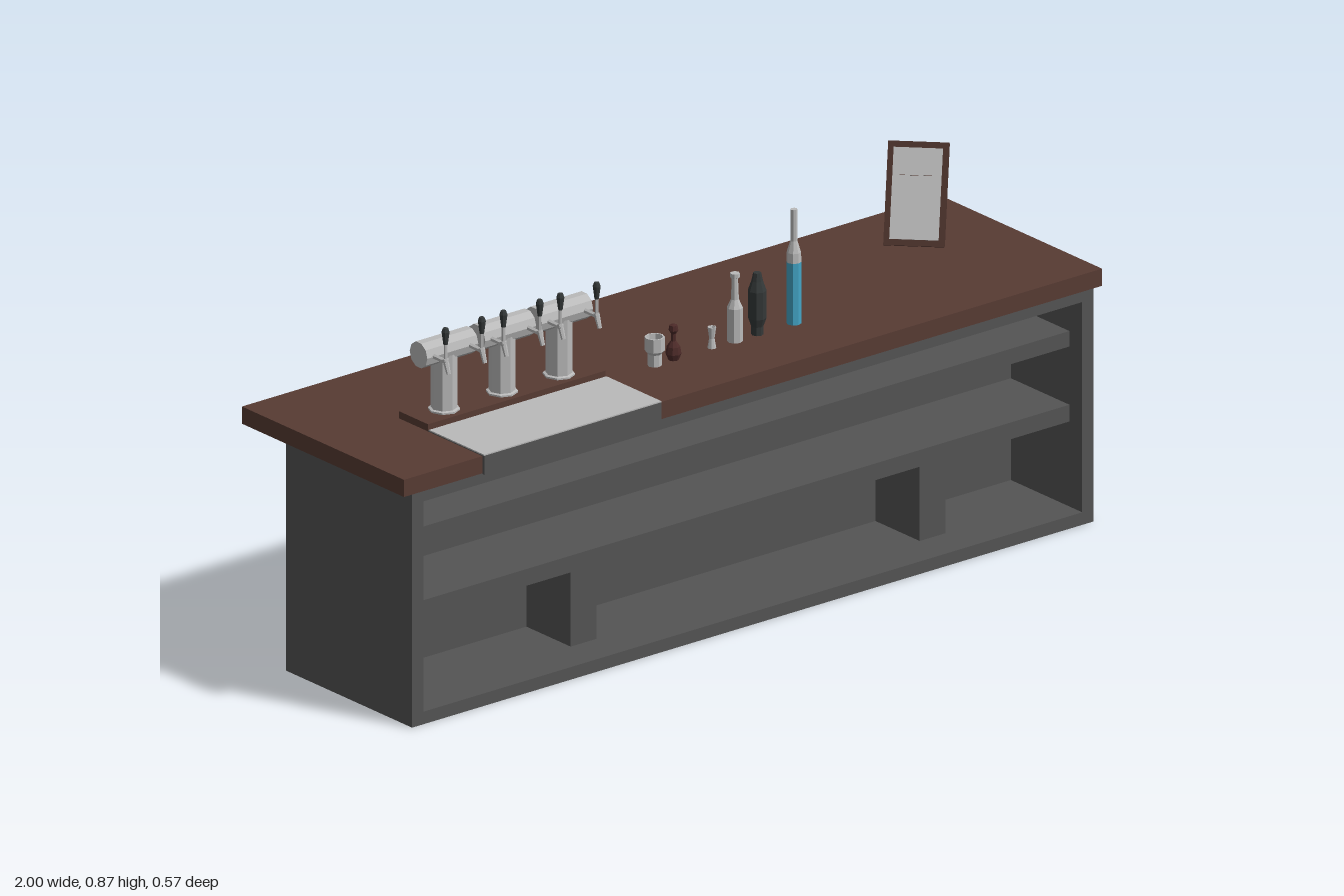
import * as THREE from 'three';

const mat = (name, color) => {
  const m = new THREE.MeshStandardMaterial({ color });
  m.name = name;
  return m;
};

export function createModel() {
  const gray = mat('charcoal cabinet', 0x545454);
  const brown = mat('dark wood', 0x573b33);
  const frameWood = mat('frame wood', 0x4b322b);
  const silver = mat('brushed metal', 0xbababa);
  const black = mat('black grip', 0x343838);
  const blue = mat('blue glass', 0x43a5c6);
  const red = mat('dark red wood', 0x4c2a28);

  const root = new THREE.Group();
  root.name = 'barCounter';

  // faceted mesh with one normal per face
  const add = (parent, name, geometry, material, x = 0, y = 0, z = 0) => {
    const g = geometry.index ? geometry.toNonIndexed() : geometry;
    g.computeVertexNormals();
    const mesh = new THREE.Mesh(g, material);
    mesh.name = name;
    mesh.position.set(x, y, z);
    parent.add(mesh);
    return mesh;
  };
  // box given by its limits on each axis
  const box = (parent, name, material, x0, x1, y0, y1, z0, z1) =>
    add(parent, name, new THREE.BoxGeometry(x1 - x0, y1 - y0, z1 - z0), material,
      (x0 + x1) / 2, (y0 + y1) / 2, (z0 + z1) / 2);
  // turned part from [radius, height] pairs, bottom to top
  const lathe = (parent, name, material, profile, x, y, z, sides = 8) =>
    add(parent, name, new THREE.LatheGeometry(
      profile.map(([r, h]) => new THREE.Vector2(r, h)), sides), material, x, y, z);
  const group = (name, x, y, z) => {
    const g = new THREE.Group();
    g.name = name;
    g.position.set(x, y, z);
    root.add(g);
    return g;
  };

  // Cabinet with an open front
  const cabinet = group('cabinet', 0, 0, 0);
  box(cabinet, 'cabinetBack', gray, -0.976, 0.976, 0, 0.557, -0.162, 0.03);
  box(cabinet, 'cabinetFloor', gray, -0.944, 0.944, 0, 0.03, 0.03, 0.28);
  box(cabinet, 'topRail', gray, -0.944, 0.944, 0.532, 0.557, 0.03, 0.28);
  for (const s of [-1, 1]) {
    const side = box(cabinet, 'cabinetSide', gray, -0.016, 0.016, 0, 0.557, 0.03, 0.28);
    side.position.x = s * 0.96;
  }
  box(cabinet, 'lowerShelf', gray, -0.944, 0.944, 0.233, 0.273, 0.03, 0.235);
  box(cabinet, 'upperShelf', gray, -0.944, 0.944, 0.412, 0.449, 0.03, 0.235);
  for (const x of [-0.407, 0.593])
    box(cabinet, 'shelfSupport', gray, x - 0.037, x + 0.037, 0.03, 0.233, 0.03, 0.185);

  // Counter top
  box(root, 'counterTop', brown, -1, 1, 0.557, 0.598, -0.287, 0.281);

  // Drip tray and tap riser
  box(root, 'dripTray', gray, -0.775, -0.267, 0.555, 0.6, 0.09, 0.287);
  box(root, 'dripTrayGrille', silver, -0.775, -0.267, 0.6, 0.603, 0.094, 0.286);
  box(root, 'tapRiser', brown, -0.775, -0.267, 0.598, 0.615, -0.012, 0.09);

  // Tap towers, each with two taps
  for (const x of [-0.69, -0.524, -0.361]) {
    const tower = group('tapTower', x, 0, 0.042);
    lathe(tower, 'towerColumn', silver,
      [[0, 0], [0.036, 0], [0.036, 0.006], [0.03, 0.008], [0.03, 0.14]], 0, 0.613, 0);
    const head = add(tower, 'towerHead', new THREE.CylinderGeometry(0.031, 0.031, 0.146, 10),
      silver, 0, 0.763, 0);
    head.rotation.z = Math.PI / 2;
    for (const s of [-1, 1]) {
      const tap = new THREE.Group();
      tap.name = 'tap';
      tap.position.set(s * 0.052, 0.763, 0);
      tower.add(tap);
      const pipe = add(tap, 'tapPipe', new THREE.CylinderGeometry(0.006, 0.006, 0.05, 6),
        silver, 0, 0, 0.05);
      pipe.rotation.x = Math.PI / 2;
      const spout = add(tap, 'tapSpout', new THREE.CylinderGeometry(0.007, 0.005, 0.035, 6),
        silver, 0, -0.01, 0.074);
      spout.rotation.x = -0.35;
      add(tap, 'tapStem', new THREE.CylinderGeometry(0.004, 0.004, 0.05, 6),
        silver, 0, 0.023, 0.069);
      lathe(tap, 'tapHandle', black,
        [[0, 0], [0.005, 0], [0.009, 0.03], [0.006, 0.039], [0, 0.039]], 0, 0.041, 0.069);
    }
  }

  // Bar tools and bottles
  const top = 0.598, z = 0.1;
  lathe(root, 'mixingCup', silver,
    [[0, 0], [0.016, 0], [0.016, 0.028], [0.023, 0.036], [0.023, 0.068], [0.019, 0.068],
      [0.017, 0.036], [0, 0.034]], -0.134, top, z);
  lathe(root, 'muddler', red,
    [[0, 0], [0.012, 0], [0.018, 0.015], [0.015, 0.032], [0.006, 0.045], [0.006, 0.062],
      [0.011, 0.07], [0.009, 0.082], [0, 0.084]], -0.08, top, z);
  lathe(root, 'jigger', silver,
    [[0, 0], [0.01, 0], [0.006, 0.023], [0.01, 0.05], [0.008, 0.05], [0, 0.028]], 0.03, top, z);
  lathe(root, 'metalBottle', silver,
    [[0, 0], [0.018, 0], [0.018, 0.08], [0.009, 0.1], [0.007, 0.15], [0.011, 0.152],
      [0.011, 0.162], [0, 0.162]], 0.096, top, z);
  lathe(root, 'darkShaker', black,
    [[0, 0], [0.014, 0], [0.014, 0.02], [0.021, 0.04], [0.021, 0.105], [0.013, 0.128],
      [0.009, 0.147], [0, 0.147]], 0.16, top, z);
  const bottle = group('blueBottle', 0.265, top, z);
  lathe(bottle, 'bottleBody', blue, [[0, 0], [0.017, 0], [0.017, 0.147]], 0, 0, 0);
  lathe(bottle, 'bottleNeck', silver,
    [[0.017, 0.147], [0.016, 0.17], [0.008, 0.197], [0.008, 0.272], [0, 0.272]], 0, 0, 0);

  // Tilted display with a rear prop
  const display = group('tabletopDisplay', 0.755, top, -0.08);
  display.rotation.y = -Math.PI / 4;
  const panel = new THREE.Group();
  panel.name = 'displayPanel';
  panel.rotation.x = -0.5;
  display.add(panel);
  box(panel, 'displayFrame', frameWood, -0.068, 0.068, 0.004, 0.238, -0.018, 0);
  box(panel, 'displayFace', silver, -0.055, 0.055, 0.018, 0.224, 0, 0.002);
  const prop = new THREE.Group();
  prop.name = 'displayProp';
  prop.position.set(0, 0, -0.185);
  prop.rotation.x = 0.62;
  display.add(prop);
  box(prop, 'propLeg', frameWood, -0.039, 0.039, 0.004, 0.18, -0.006, 0.006);

  return root;
}
